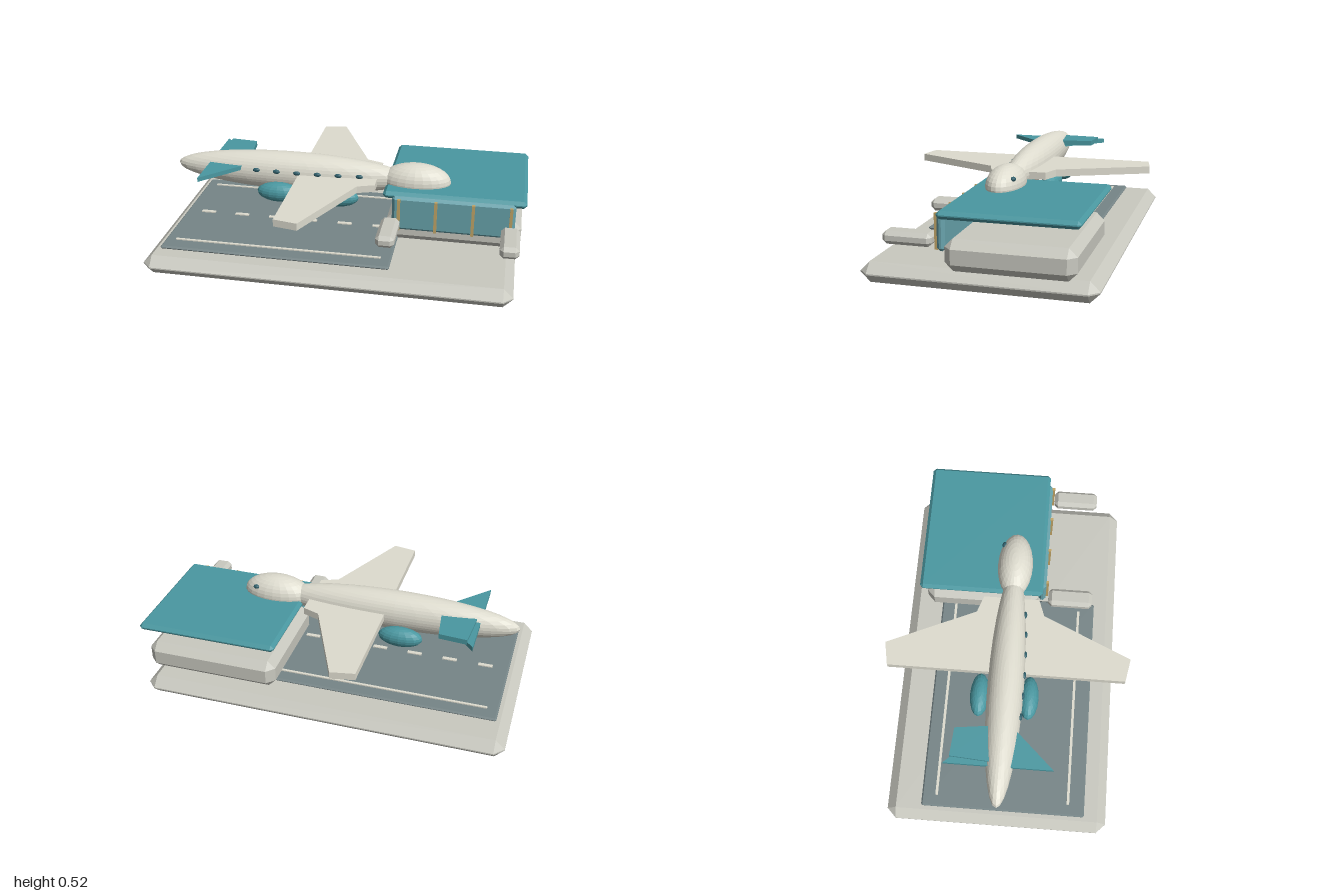
import * as THREE from 'three';
import { ConvexGeometry } from 'three/addons/geometries/ConvexGeometry.js';

const mat = (color) => new THREE.MeshStandardMaterial({ color, flatShading: true });
const stone = mat(0xc9c9c0), cream = mat(0xdedccf), teal = mat(0x4a98a1);
const glass = mat(0x68a3ac), asphalt = mat(0x768587), brass = mat(0xc2a668), dark = mat(0x2f5f6b);

// Box given by its limits, with every edge chamfered by r and the corners cut to triangles
function chamferBox([x0, x1], [y0, y1], [z0, z1], r) {
  const h = [(x1 - x0) / 2, (y1 - y0) / 2, (z1 - z0) / 2];
  const points = [];
  for (const sx of [-1, 1]) for (const sy of [-1, 1]) for (const sz of [-1, 1]) {
    for (let axis = 0; axis < 3; axis++) {
      const [a, b, c] = h.map((v, i) => (i === axis ? v : v - r));
      points.push(new THREE.Vector3(sx * a, sy * b, sz * c));
    }
  }
  return new ConvexGeometry(points).translate((x0 + x1) / 2, (y0 + y1) / 2, (z0 + z1) / 2);
}

function box([x0, x1], [y0, y1], [z0, z1]) {
  return new THREE.BoxGeometry(x1 - x0, y1 - y0, z1 - z0)
    .translate((x0 + x1) / 2, (y0 + y1) / 2, (z0 + z1) / 2);
}

function ellipsoid(center, radii, w = 24, h = 16) {
  return new THREE.SphereGeometry(1, w, h).scale(...radii).translate(...center);
}

// Flat plate from an outline in x and z, between two heights
function plate(outline, bottom, top) {
  const shape = new THREE.Shape(outline.map(([x, z]) => new THREE.Vector2(x, z)));
  return new THREE.ExtrudeGeometry(shape, { depth: top - bottom, bevelEnabled: false })
    .rotateX(Math.PI / 2).translate(0, top, 0);
}

// Full outline from its +z half, mirrored across z = 0
const mirrored = (half) => [...half, ...half.map(([x, z]) => [x, -z]).reverse()];

export function createModel() {
  const model = new THREE.Group();
  const add = (name, geometry, material, parent = model) => {
    const mesh = new THREE.Mesh(geometry, material);
    mesh.name = name;
    parent.add(mesh);
  };
  const group = (name) => {
    const g = new THREE.Group();
    g.name = name;
    model.add(g);
    return g;
  };

  // Ground slab
  add('groundSlab', chamferBox([-1, 0.957], [0, 0.107], [-0.597, 0.597], 0.05), stone);

  // Runway with edge lines and centre dashes
  const runway = group('runway');
  add('runwaySurface', chamferBox([-0.93, 0.315], [0.105, 0.124], [-0.41, 0.475], 0.008), asphalt, runway);
  for (const z of [-0.33, 0.385]) {
    add('edgeLine', box([-0.87, 0.26], [0.122, 0.13], [z - 0.007, z + 0.007]), cream, runway);
  }
  for (let i = 0; i < 6; i++) {
    const x = -0.8 + i * 0.2;
    add('centreDash', box([x - 0.04, x + 0.04], [0.122, 0.13], [0.022, 0.044]), cream, runway);
  }

  // Terminal
  const terminal = group('terminal');
  add('terminalBase', chamferBox([0.25, 0.977], [0.105, 0.265], [-0.495, 0.147], 0.042), stone, terminal);
  add('glassWall', chamferBox([0.285, 0.94], [0.195, 0.39], [0.145, 0.187], 0.015), glass, terminal);
  add('roof', chamferBox([0.232, 0.995], [0.367, 0.407], [-0.52, 0.17], 0.017), teal, terminal);
  for (let i = 0; i < 4; i++) {
    const x = 0.323 + i * 0.198;
    add('mullion', box([x - 0.008, x + 0.008], [0.2, 0.38], [0.184, 0.2]), brass, terminal);
  }
  for (const x of [0.285, 0.92]) {
    add('boardingBridge', chamferBox([x - 0.05, x + 0.05], [0.218, 0.284], [0.203, 0.453], 0.02), stone, terminal);
  }

  // Aircraft body
  const aircraft = group('aircraft');
  add('fuselage', ellipsoid([-0.3, 0.416, 0.005], [0.665, 0.109, 0.098], 32, 20), cream, aircraft);
  add('nose', ellipsoid([0.393, 0.415, 0.005], [0.19, 0.098, 0.098]), cream, aircraft);
  add('cockpitWindow', ellipsoid([0.495, 0.462, -0.062], [0.018, 0.012, 0.014], 12, 8), dark, aircraft);
  for (let i = 0; i < 6; i++) {
    const x = -0.485 + i * 0.115;
    const z = 0.005 + 0.095 * Math.sqrt(1 - ((x + 0.3) / 0.665) ** 2);
    add('cabinWindow', ellipsoid([x, 0.443, z], [0.02, 0.012, 0.01], 12, 8), dark, aircraft);
  }

  // Wings, tailplane and fin
  const wingHalf = [[-0.247, 0.64], [-0.12, 0.664], [0.095, 0.185], [0.187, 0.152]];
  add('wings', plate(mirrored(wingHalf), 0.395, 0.434), cream, aircraft);
  add('tailplane', plate([[-0.76, -0.287], [-0.49, 0], [-0.76, 0.287]], 0.433, 0.457), teal, aircraft);
  add('fin', plate([[-0.725, -0.255], [-0.575, -0.242], [-0.55, -0.04], [-0.74, -0.04]], 0.445, 0.473), teal, aircraft);

  // Four engines
  for (const x of [-0.35, -0.025]) for (const side of [-1, 1]) {
    add('engine', ellipsoid([x, 0.34, side * 0.134], [0.121, 0.055, 0.052], 16, 12), teal, aircraft);
  }

  return model;
}
